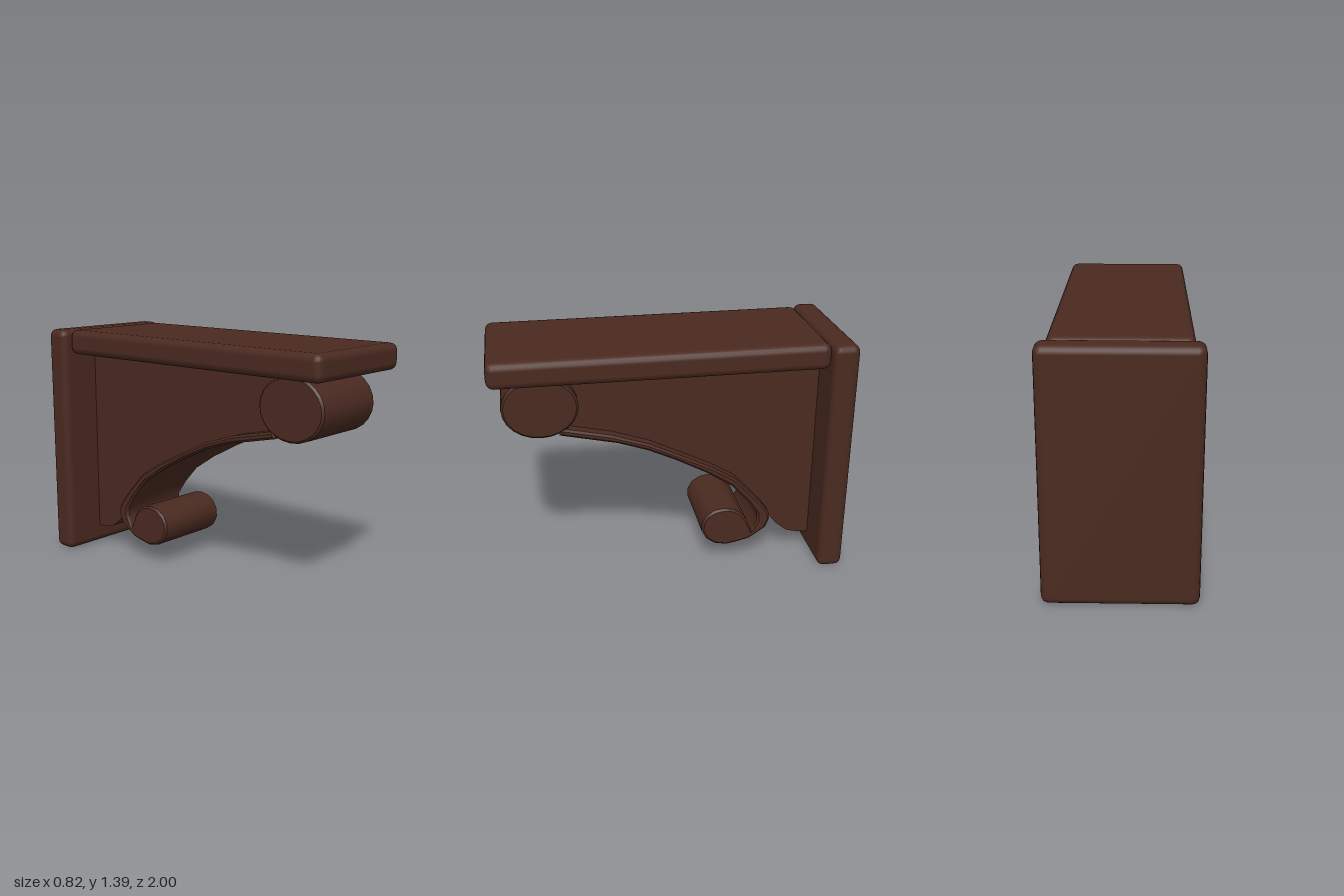
import * as THREE from 'three';
import { toCreasedNormals } from 'three/addons/utils/BufferGeometryUtils.js';
import { RoundedBoxGeometry } from 'three/addons/geometries/RoundedBoxGeometry.js';

export function createModel() {
  const group = new THREE.Group();
  const wood = new THREE.MeshStandardMaterial({ color: 0x4a2a20 });
  wood.name = 'dark wood';

  const add = (name, geometry) => {
    const mesh = new THREE.Mesh(geometry, wood);
    mesh.name = name;
    group.add(mesh);
    return mesh;
  };

  // Board with softened edges, given by its extents
  const board = (name, width, y0, y1, z0, z1) =>
    add(name, new RoundedBoxGeometry(width, y1 - y0, z1 - z0, 2, 0.042))
      .position.set(0, (y0 + y1) / 2, (z0 + z1) / 2);

  // Side profile in (z, y), extruded across x with a small bevel
  const profile = (name, points, halfWidth, bevel) => {
    const shape = new THREE.Shape(points.map(([z, y]) => new THREE.Vector2(z, y)));
    const depth = 2 * (halfWidth - bevel);
    const geometry = new THREE.ExtrudeGeometry(shape, {
      depth, bevelEnabled: bevel > 0, bevelSize: bevel, bevelThickness: bevel,
      bevelOffset: -bevel, bevelSegments: 1,
    });
    geometry.translate(0, 0, -depth / 2);
    geometry.rotateY(-Math.PI / 2);
    add(name, toCreasedNormals(geometry, 0.6));
  };

  board('backPlate', 0.824, 0, 1.39, -1, -0.853);
  board('shelf', 0.734, 1.243, 1.39, -0.855, 1);

  // Upper scroll, a slightly flattened roll
  const roll = [];
  for (let i = 0; i < 24; i++) {
    const a = (i / 24) * Math.PI * 2;
    roll.push([0.728 + 0.21 * Math.cos(a), 1.073 + 0.177 * Math.sin(a)]);
  }
  profile('upperScroll', roll, 0.235, 0.012);

  // Upper edge of the curved band, shared with the web
  const upperEdge = [
    [0.62, 0.945], [0.34, 0.883], [0.13, 0.812], [-0.1, 0.7], [-0.23, 0.635],
    [-0.37, 0.55], [-0.475, 0.44], [-0.545, 0.358], [-0.583, 0.305], [-0.59, 0.26],
  ];
  // Band that sweeps down and curls into the lower scroll
  profile('bandAndLowerScroll', [
    ...upperEdge,
    [-0.567, 0.203], [-0.47, 0.137], [-0.4, 0.119], [-0.33, 0.107], [-0.26, 0.121],
    [-0.208, 0.158], [-0.178, 0.214], [-0.18, 0.266], [-0.207, 0.314], [-0.255, 0.344],
    [-0.31, 0.353], [-0.365, 0.344], [-0.415, 0.315], [-0.45, 0.265], [-0.48, 0.19],
    [-0.512, 0.25], [-0.51, 0.31], [-0.45, 0.395], [-0.35, 0.505], [-0.2, 0.603],
    [-0.02, 0.7], [0.14, 0.775], [0.31, 0.833], [0.63, 0.905],
  ], 0.235, 0.012);

  // Narrower solid web between band, shelf and back plate
  profile('web', [
    [0.73, 1.25], [0.73, 1],
    ...upperEdge.map(([z, y]) => [z + 0.012, y - 0.012]),
    [-0.6, 0.255], [-0.645, 0.195], [-0.715, 0.135], [-0.79, 0.113], [-0.87, 0.11], [-0.87, 1.25],
  ], 0.167, 0);

  return group;
}
